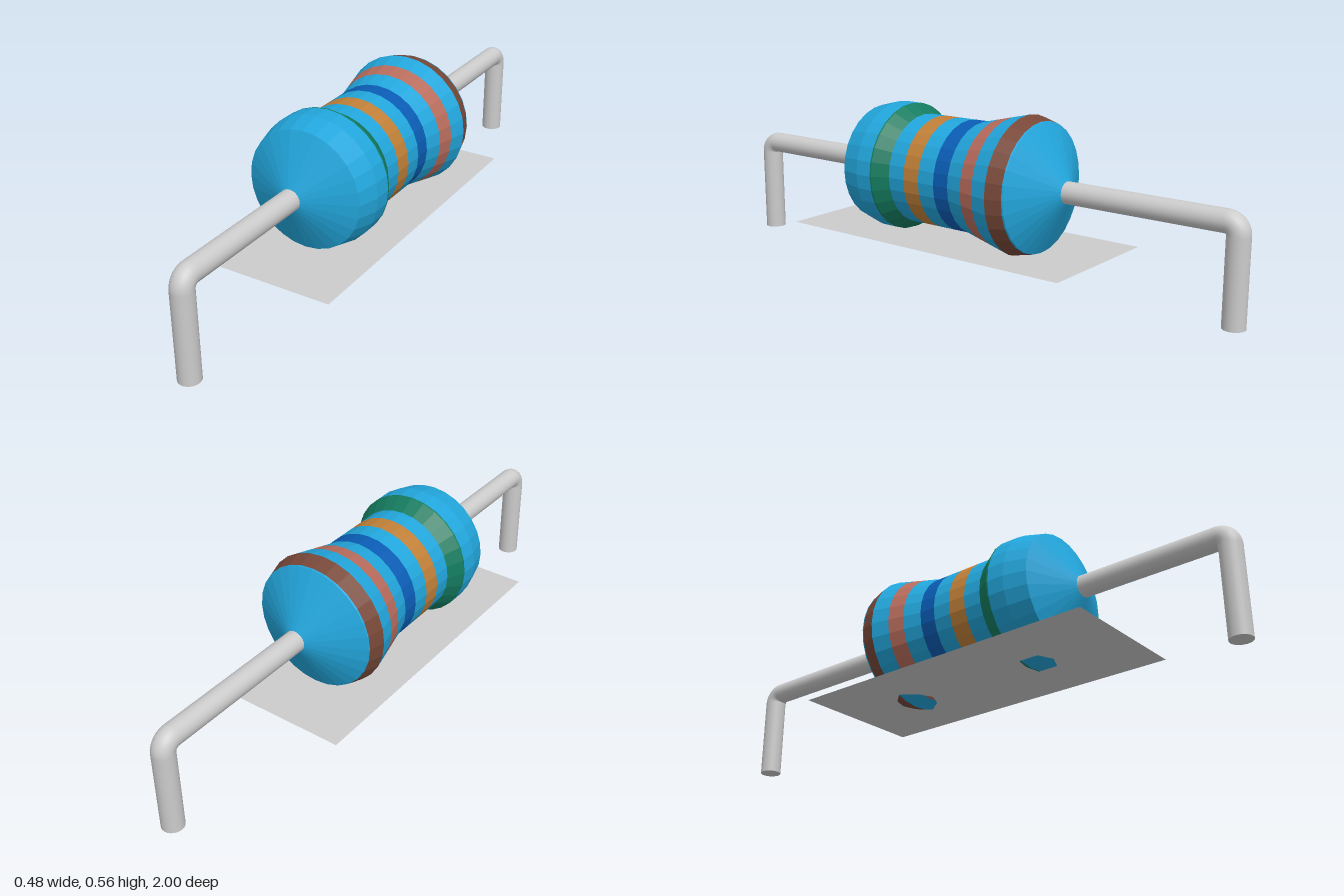
import * as THREE from 'three';

const AXIS_X = 0.007, AXIS_Y = 0.332, WIRE_R = 0.036;

// Body outline as [z, radius], back to front
const profile = [
  [-0.386, 0.036], [-0.293, 0.213], [-0.235, 0.23], [-0.055, 0.187], [0.193, 0.187],
  [0.245, 0.219], [0.31, 0.219], [0.385, 0.2], [0.46, 0.036],
];

// Painted rings as [name, back z, front z, color]
const bands = [
  ['brownBand', -0.288, -0.235, 0x784838],
  ['pinkBand', -0.173, -0.118, 0xb86c5c],
  ['blueBand', -0.055, 0.003, 0x0a5cb4],
  ['orangeBand', 0.067, 0.13, 0xc08038],
  ['greenBand', 0.193, 0.25, 0x147c60],
];

function radiusAt(z) {
  for (let i = 1; i < profile.length; i++) {
    const [z0, r0] = profile[i - 1], [z1, r1] = profile[i];
    if (z <= z1) return r0 + (r1 - r0) * (z - z0) / (z1 - z0);
  }
  return WIRE_R;
}

// One slice of the turned body between two z positions
function bodySlice(name, z0, z1, color) {
  const inner = profile.filter(([z]) => z > z0 + 1e-4 && z < z1 - 1e-4);
  const points = [[z0, radiusAt(z0)], ...inner, [z1, radiusAt(z1)]]
    .map(([z, r]) => new THREE.Vector2(r, z));
  const geometry = new THREE.LatheGeometry(points, 28).rotateX(Math.PI / 2);
  const mesh = new THREE.Mesh(geometry,
    new THREE.MeshStandardMaterial({ color, flatShading: true }));
  mesh.name = name;
  return mesh;
}

// Horizontal wire, quarter bend and downward leg; side +1 is front
function lead(name, side, bottom) {
  const group = new THREE.Group();
  group.name = name;
  const material = new THREE.MeshStandardMaterial({ color: 0xcccccc });
  const add = (part, geometry) => {
    const mesh = new THREE.Mesh(geometry, material);
    mesh.name = part;
    group.add(mesh);
    return mesh;
  };
  const bend = 0.037, legZ = 1 - WIRE_R, start = 0.36, end = legZ - bend;
  const wire = add('wire', new THREE.CylinderGeometry(WIRE_R, WIRE_R, end - start, 24).rotateX(Math.PI / 2));
  wire.position.set(0, AXIS_Y, (start + end) / 2);
  const elbow = add('elbow', new THREE.TorusGeometry(bend, WIRE_R, 24, 10, Math.PI / 2).rotateY(-Math.PI / 2));
  elbow.position.set(0, AXIS_Y - bend, end);
  const top = AXIS_Y - bend;
  const leg = add('leg', new THREE.CylinderGeometry(WIRE_R, WIRE_R, top - bottom, 24));
  leg.position.set(0, (top + bottom) / 2, legZ);
  group.position.x = AXIS_X;
  if (side < 0) group.rotation.y = Math.PI;
  return group;
}

export function createModel() {
  const model = new THREE.Group();
  model.name = 'resistor';

  // Body, alternating base color and painted rings
  const body = new THREE.Group();
  body.name = 'body';
  body.position.set(AXIS_X, AXIS_Y, 0);
  let z = profile[0][0];
  for (const [name, z0, z1, color] of bands) {
    body.add(bodySlice('bodyShell', z, z0, 0x22a6dc), bodySlice(name, z0, z1, color));
    z = z1;
  }
  body.add(bodySlice('bodyShell', z, profile.at(-1)[0], 0x22a6dc));
  model.add(body);

  // Bent leads, the front one slightly longer
  model.add(lead('frontLead', 1, 0), lead('backLead', -1, 0.018));

  // Thin sheet just cutting the underside of the body
  const sheet = new THREE.Mesh(new THREE.PlaneGeometry(0.474, 1.11).rotateX(-Math.PI / 2),
    new THREE.MeshStandardMaterial({ color: 0xcccccc, side: THREE.DoubleSide }));
  sheet.name = 'baseSheet';
  sheet.position.set(-0.002, 0.12, 0.049);
  model.add(sheet);

  return model;
}
